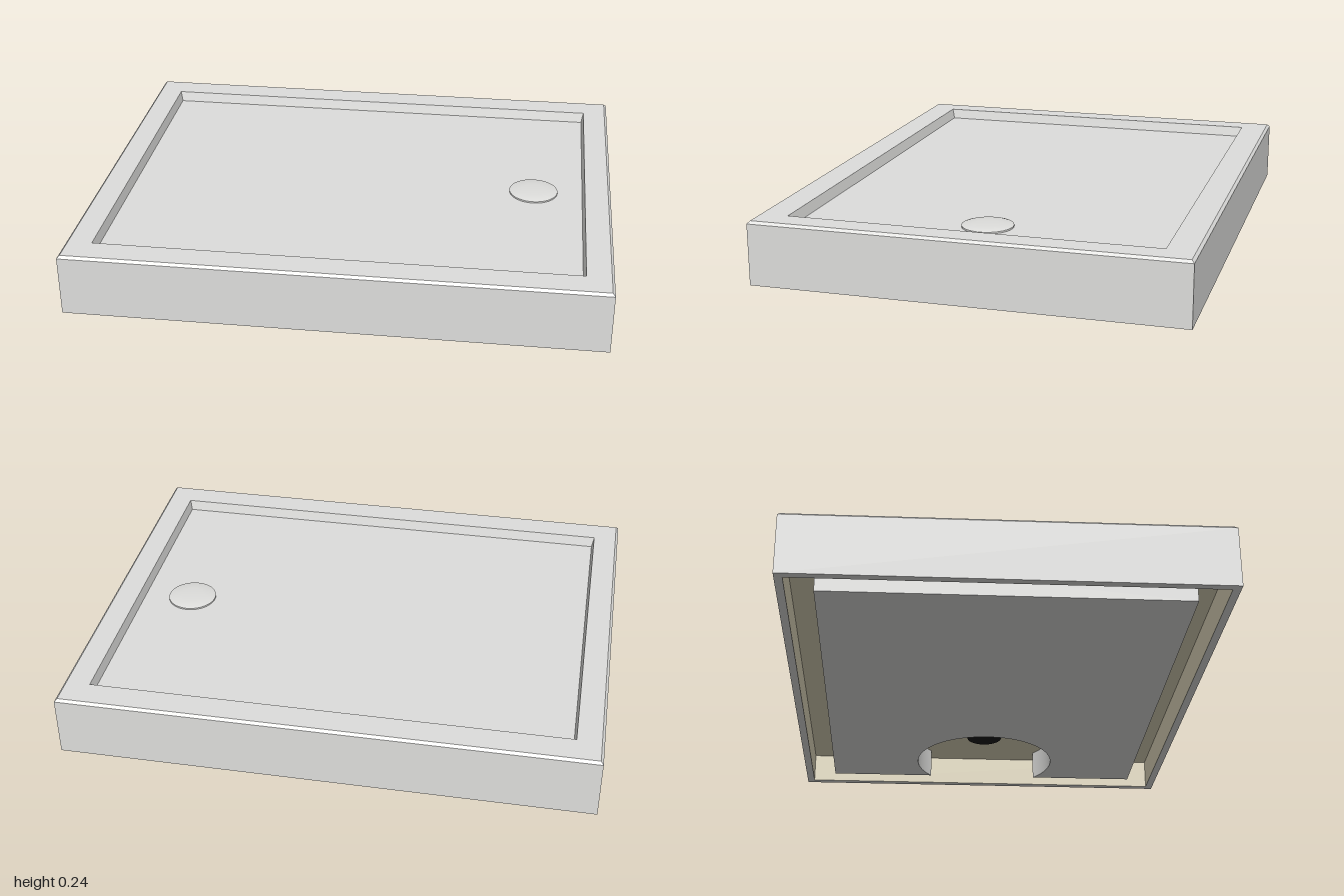
import * as THREE from 'three';
import { toCreasedNormals } from 'three/addons/utils/BufferGeometryUtils.js';

// Joins rectangular cross-sections [halfX, halfZ, y] into one flat-shaded surface.
function loftRectangles(sections) {
  const corners = ([hx, hz, y]) => [[hx, y, hz], [hx, y, -hz], [-hx, y, -hz], [-hx, y, hz]];
  const positions = [];
  for (let s = 0; s < sections.length - 1; s++) {
    const a = corners(sections[s]);
    const b = corners(sections[s + 1]);
    for (let i = 0; i < 4; i++) {
      const j = (i + 1) % 4;
      positions.push(...a[i], ...a[j], ...b[j], ...a[i], ...b[j], ...b[i]);
    }
  }
  const geometry = new THREE.BufferGeometry();
  geometry.setAttribute('position', new THREE.Float32BufferAttribute(positions, 3));
  geometry.computeVertexNormals();
  return geometry;
}

export function createModel() {
  const model = new THREE.Group();
  model.name = 'showerTray';

  const material = (name, color) => {
    const m = new THREE.MeshStandardMaterial({ color });
    m.name = name;
    return m;
  };
  const grey = material('palegrey', 0xdededc);
  const beige = material('beige', 0xded6ba);
  const black = material('black', 0x1a1a1a);

  const add = (name, geometry, mat, x = 0, y = 0) => {
    const mesh = new THREE.Mesh(geometry, mat);
    mesh.name = name;
    mesh.position.set(x, y, 0);
    model.add(mesh);
  };

  const drainX = 0.7;
  const ceilingY = 0.12;

  // Skirt, bevelled rim and sunken floor
  add('trayShell', loftRectangles([
    [0.97, 0.77, 0], [1, 0.8, 0], [1, 0.8, 0.23], [0.99, 0.79, 0.24],
    [0.9, 0.687, 0.24], [0.892, 0.677, 0.2], [0, 0, 0.2],
  ]), grey);

  // Hollow inside of the skirt
  add('undersideLining', loftRectangles([
    [0, 0, ceilingY], [0.97, 0.77, ceilingY], [0.97, 0.77, 0],
  ]), beige);

  // Solid base with a round cut-out around the drain, open to the side
  const hx = 0.88, hz = 0.67, radius = 0.295;
  const angle = Math.acos((hx - drainX) / radius);
  const outline = new THREE.Shape();
  outline.moveTo(hx, hz);
  outline.lineTo(-hx, hz);
  outline.lineTo(-hx, -hz);
  outline.lineTo(hx, -hz);
  outline.absarc(drainX, 0, radius, -angle, angle, true);
  outline.closePath();
  const base = new THREE.ExtrudeGeometry(outline, {
    depth: ceilingY, bevelEnabled: false, curveSegments: 48,
  });
  base.rotateX(-Math.PI / 2);
  add('baseSlab', toCreasedNormals(base, 0.5), grey);

  // Waste outlet on the underside
  add('drainOutlet', new THREE.CylinderGeometry(0.075, 0.075, 0.006, 40), black, drainX, ceilingY - 0.002);

  // Shallow domed cover over the drain
  const coverProfile = [[0.095, 0], [0.095, 0.006], [0.085, 0.009], [0.045, 0.012], [0, 0.013]]
    .map(([r, y]) => new THREE.Vector2(r, y));
  add('drainCover', toCreasedNormals(new THREE.LatheGeometry(coverProfile, 48), 0.6), grey, drainX, 0.2);

  return model;
}
